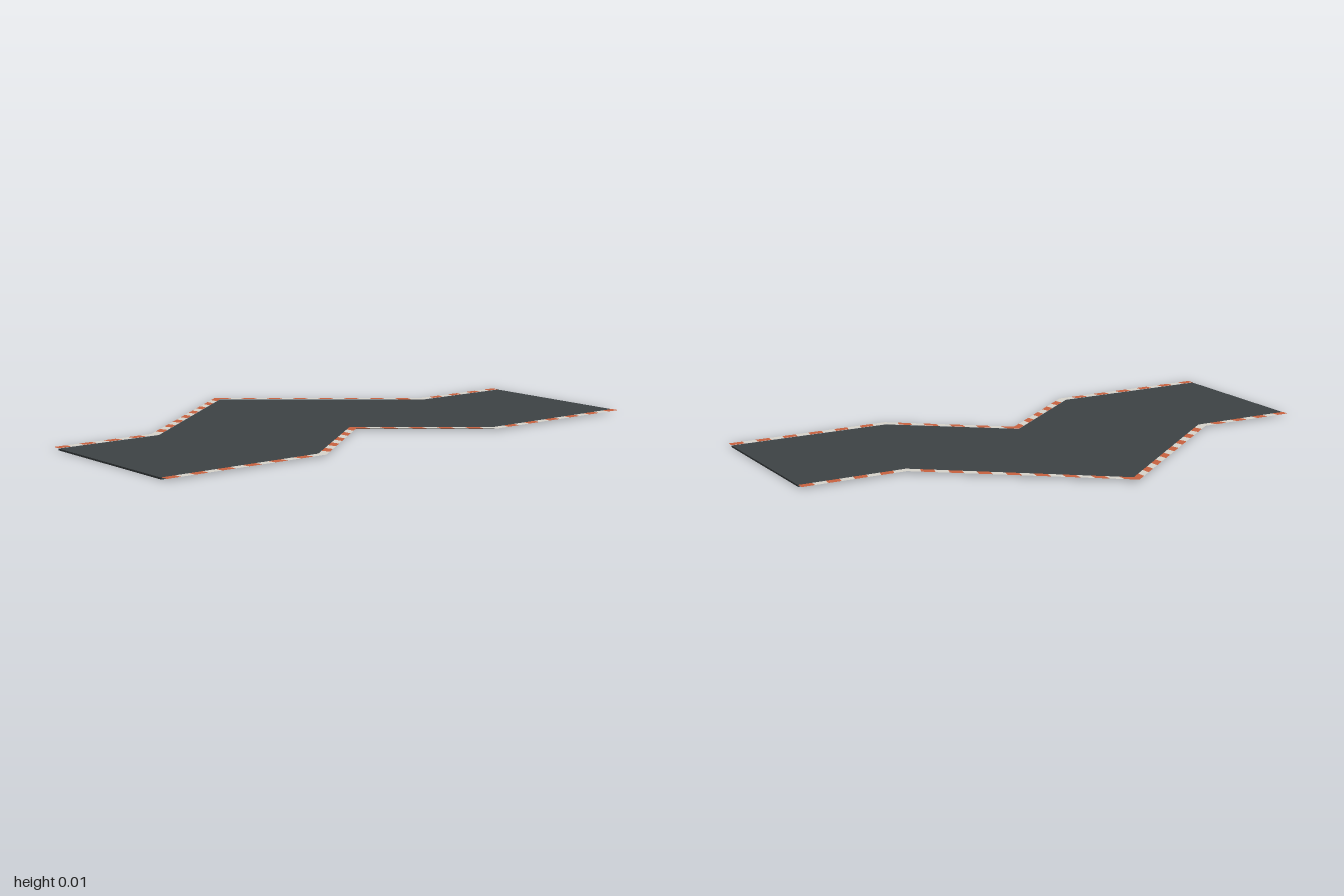
import * as THREE from 'three';

const ROAD_TOP = 0.006;
const KERB_Y = 0.007;

// Each side: [x, z] of the end, the bend and the apex; the other half mirrors in z
const SIDES = [
  {
    name: 'rightKerb',
    road: [[-0.055, 1], [-0.055, 0.605], [-0.54, 0]],
    outer: [[-0.085, 1], [-0.085, 0.617], [-0.575, 0]],
    stripes: [8, 16],
  },
  {
    name: 'leftKerb',
    road: [[0.545, 1], [0.545, 0.392], [0.232, 0]],
    outer: [[0.575, 1], [0.575, 0.382], [0.268, 0]],
    stripes: [12, 10],
  },
];

const material = (color) => new THREE.MeshStandardMaterial({ color, side: THREE.DoubleSide });

// Full edge from z = 1 to z = -1
const fullEdge = (half) => [...half, ...half.slice(0, -1).reverse().map(([x, z]) => [x, -z])];

const lerp = (a, b, t) => [a[0] + (b[0] - a[0]) * t, a[1] + (b[1] - a[1]) * t];

// Flat quads for every stripe of one colour along one kerb
function stripeGeometry(side, parity) {
  const pos = [];
  for (const m of [1, -1]) {
    let index = 0;
    side.stripes.forEach((count, s) => {
      for (let i = 0; i < count; i++) {
        // the stripe before and after the bend share a colour
        if ((index + s) % 2 === parity) {
          const t0 = i / count, t1 = (i + 1) / count;
          const quad = [
            lerp(side.road[s], side.road[s + 1], t0),
            lerp(side.outer[s], side.outer[s + 1], t0),
            lerp(side.outer[s], side.outer[s + 1], t1),
            lerp(side.road[s], side.road[s + 1], t1),
          ];
          // keep the faces pointing up on both sides and both halves
          if ((side.outer[0][0] > side.road[0][0]) !== (m > 0)) quad.reverse();
          for (const k of [0, 1, 2, 0, 2, 3]) pos.push(quad[k][0], KERB_Y, quad[k][1] * m);
        }
        index++;
      }
    });
  }
  const g = new THREE.BufferGeometry();
  g.setAttribute('position', new THREE.Float32BufferAttribute(pos, 3));
  g.computeVertexNormals();
  return g;
}

export function createModel() {
  const group = new THREE.Group();
  group.name = 'chicaneRoad';

  // Asphalt slab
  const outline = [...fullEdge(SIDES[0].road), ...fullEdge(SIDES[1].road).reverse()];
  const shape = new THREE.Shape(outline.map(([x, z]) => new THREE.Vector2(x, -z)));
  const slab = new THREE.ExtrudeGeometry(shape, { depth: ROAD_TOP, bevelEnabled: false });
  slab.rotateX(-Math.PI / 2);
  const road = new THREE.Mesh(slab, material(0x3d4345));
  road.name = 'roadSurface';
  group.add(road);

  // Striped kerbs
  const colors = [['orangeStripes', material(0xc9623f)], ['whiteStripes', material(0xd8d4cc)]];
  for (const side of SIDES) {
    const kerb = new THREE.Group();
    kerb.name = side.name;
    colors.forEach(([name, mat], parity) => {
      const mesh = new THREE.Mesh(stripeGeometry(side, parity), mat);
      mesh.name = name;
      kerb.add(mesh);
    });
    group.add(kerb);
  }
  return group;
}
